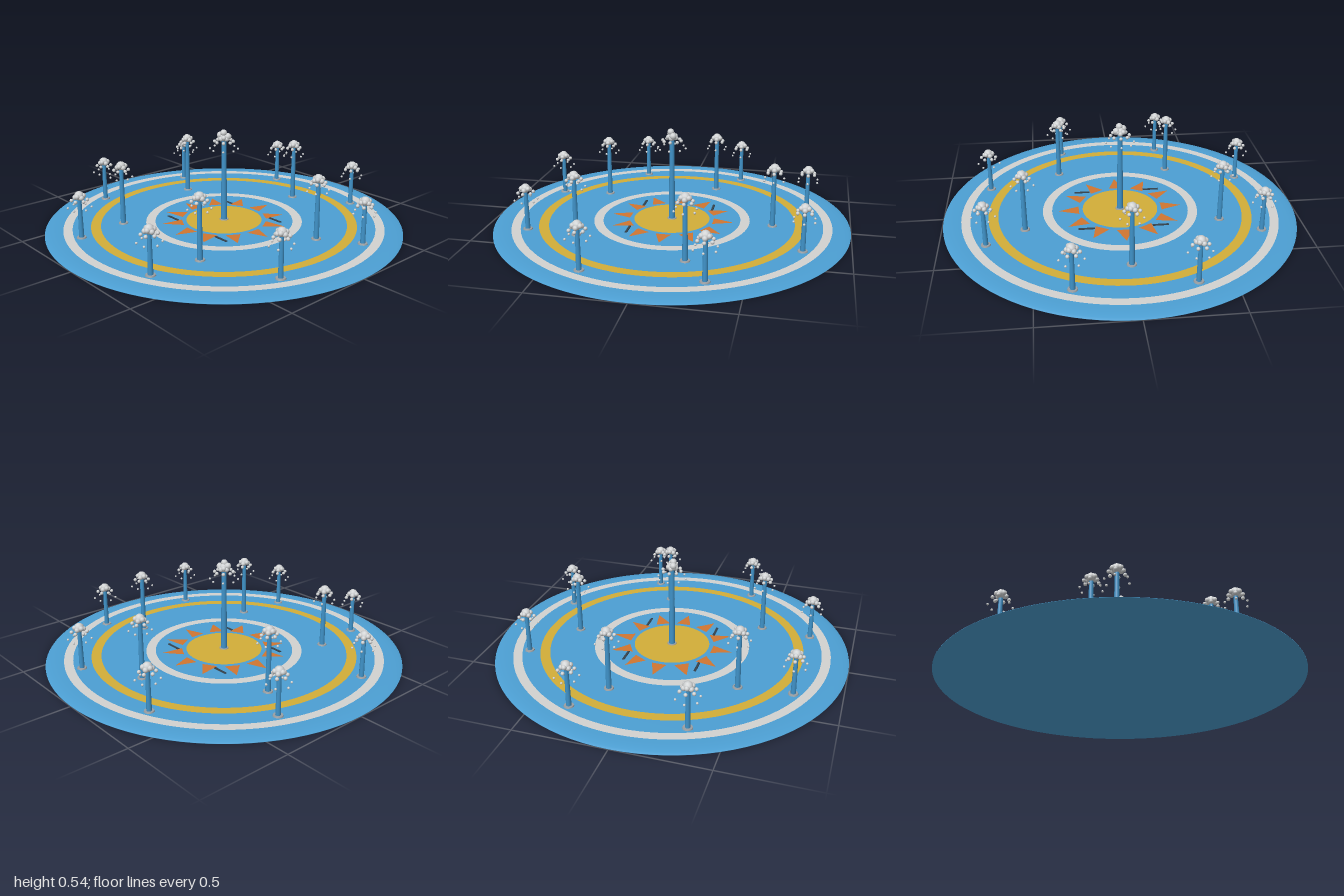
import * as THREE from 'three';

const mat = (name, color, extra = {}) => new THREE.MeshStandardMaterial({ name, color, ...extra });

export function createModel() {
  const blue = mat('pool blue', 0x4c9fd3);
  const water = mat('water blue', 0x3f92c8);
  const white = mat('pale grey', 0xd2d2d0);
  const gold = mat('sun gold', 0xd2ae39);
  const orange = mat('ray orange', 0xd07631);
  const dark = mat('drain grey', 0x34414c);
  const steel = mat('nozzle grey', 0x9a9fa3);
  const foam = mat('foam grey', 0xd0d2d3);

  const model = new THREE.Group();
  model.name = 'splashPad';
  const TOP = 0.012;

  const add = (parent, name, geometry, material, x = 0, y = 0, z = 0) => {
    const mesh = new THREE.Mesh(geometry, material);
    mesh.name = name;
    mesh.position.set(x, y, z);
    parent.add(mesh);
    return mesh;
  };

  // Round pad with a softly sloping rim and closed underside
  const profile = [[0, 0], [1, 0], [1, 0.002], [0.985, 0.006], [0.96, 0.01], [0.92, TOP], [0, TOP]];
  add(model, 'pad', new THREE.LatheGeometry(profile.map(p => new THREE.Vector2(...p)), 96), blue);

  // Painted rings and sun disc
  const painted = (name, geometry, material) =>
    add(model, name, geometry.rotateX(-Math.PI / 2), material, 0, TOP + 0.0015, 0);
  painted('outerRing', new THREE.RingGeometry(0.85, 0.9, 96), white);
  painted('goldRing', new THREE.RingGeometry(0.695, 0.75, 96), gold);
  painted('innerRing', new THREE.RingGeometry(0.39, 0.443, 72), white);
  painted('sunDisc', new THREE.CircleGeometry(0.215, 64), gold);

  // Twelve triangular sun rays
  for (let i = 0; i < 12; i++) {
    const ray = new THREE.Shape([
      new THREE.Vector2(0.237, -0.042), new THREE.Vector2(0.352, 0), new THREE.Vector2(0.237, 0.042),
    ]);
    painted('sunRay', new THREE.ShapeGeometry(ray).rotateZ(i * Math.PI / 6), orange);
  }

  // Four slot drains
  for (const x of [-0.206, 0.206]) for (const z of [-0.206, 0.206])
    add(model, 'drain', new THREE.BoxGeometry(0.09, 0.006, 0.013), dark, x, TOP + 0.001, z);

  // Water jet: nozzle, tapering column, foam head and falling drops
  const ball = r => new THREE.IcosahedronGeometry(r, 1);
  function jet(name, x, z, height, count, spread, r) {
    const g = new THREE.Group();
    g.name = name;
    g.position.set(x, 0, z);
    add(g, 'nozzle', new THREE.CylinderGeometry(0.025, 0.027, 0.006, 20), steel, 0, TOP + 0.003, 0);
    const stem = height - 0.035 - TOP;
    add(g, 'column', new THREE.CylinderGeometry(r * 0.75, r, stem, 12), water, 0, TOP + stem / 2, 0);
    add(g, 'foamHead', ball(0.026), foam, 0, height - 0.026, 0);
    for (let i = 0; i < count; i++) {
      const a = i / count * Math.PI * 2, c = Math.cos(a), s = Math.sin(a);
      add(g, 'foamPuff', ball(0.014), foam, c * 0.022, height - 0.034 + (i % 2) * 0.008, s * 0.022);
      add(g, 'foamBead', ball(0.01), foam, c * spread * 0.66, height - 0.05, s * spread * 0.66);
      add(g, 'drop', ball(0.0065), foam, c * spread, height - 0.092, s * spread);
    }
    model.add(g);
    return g;
  }

  // Ring of eight low jets
  for (let i = 0; i < 8; i++) {
    const a = (i + 0.5) * Math.PI / 4;
    jet('outerJet', 0.81 * Math.cos(a), 0.81 * Math.sin(a), 0.277, 6, 0.062, 0.014);
  }
  // Ring of five medium jets
  for (let i = 0; i < 5; i++) {
    const a = -Math.PI / 2 + i * Math.PI * 2 / 5;
    jet('innerJet', 0.57 * Math.cos(a), 0.57 * Math.sin(a), 0.377, 6, 0.06, 0.015);
  }
  // Tall centre jet with a larger foam crown
  const centre = jet('centreJet', 0, 0, 0.525, 8, 0.078, 0.018);
  for (const [x, y, z] of [[-0.018, 0.51, 0.012], [0.022, 0.505, -0.01], [0.004, 0.525, 0.006]])
    add(centre, 'foamCrown', ball(0.019), foam, x, y, z);

  return model;
}
